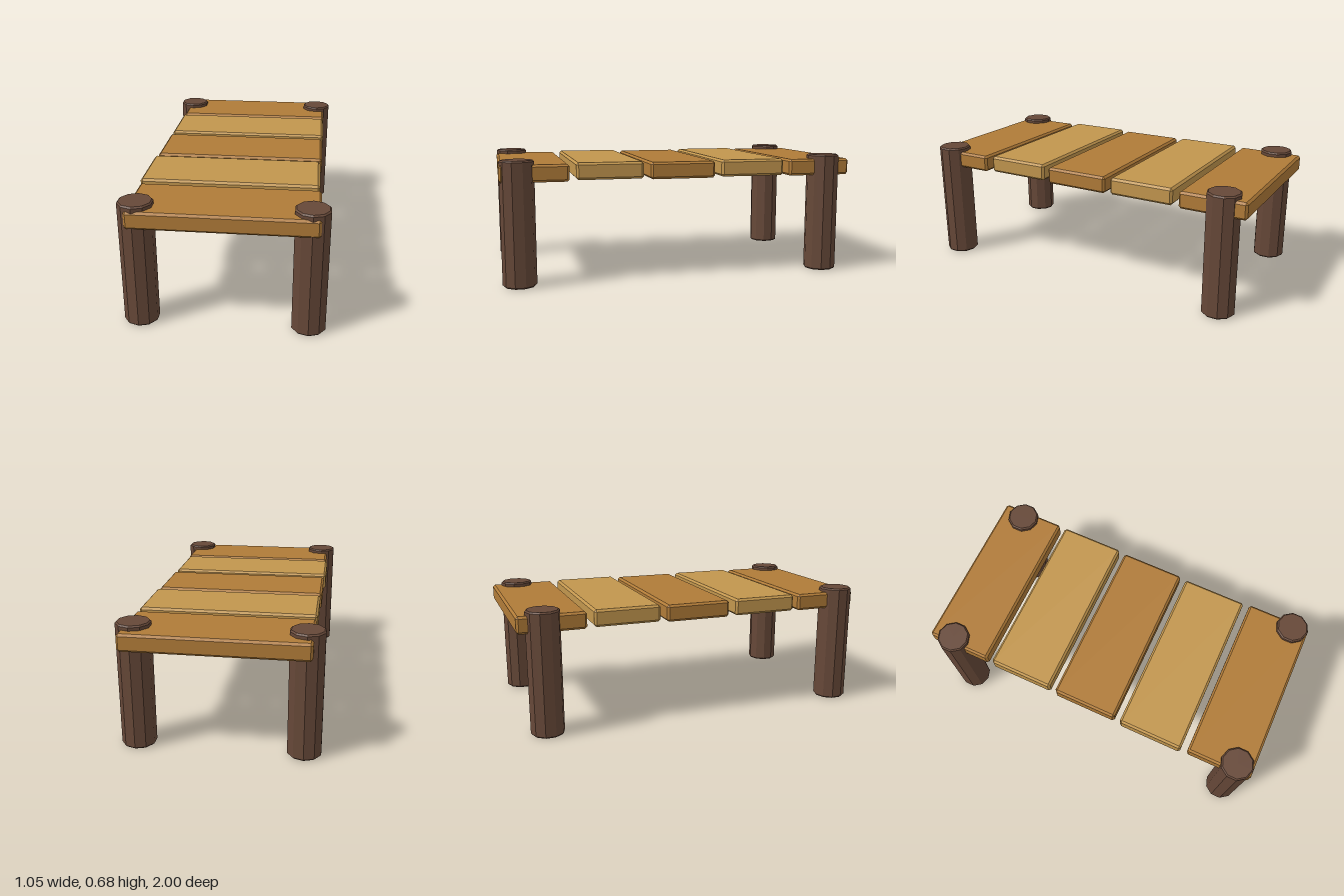
import * as THREE from 'three';
import { ConvexGeometry } from 'three/addons/geometries/ConvexGeometry.js';

const wood = (color) => new THREE.MeshStandardMaterial({ color, flatShading: true });

// Box with every edge cut by a small chamfer
function chamferedBox(w, h, d, c) {
  const points = [];
  for (const sx of [-1, 1]) for (const sy of [-1, 1]) for (const sz of [-1, 1]) {
    for (let full = 0; full < 3; full++) {
      const inset = (axis) => (axis === full ? 0 : c);
      points.push(new THREE.Vector3(
        sx * (w / 2 - inset(0)), sy * (h / 2 - inset(1)), sz * (d / 2 - inset(2))));
    }
  }
  return new ConvexGeometry(points);
}

// Ten-sided post with chamfered ends, standing on y = 0
function postGeometry(radius, height, c) {
  const profile = [
    [0, 0], [radius - c, 0], [radius, c],
    [radius, height - c], [radius - c, height], [0, height],
  ].map(([x, y]) => new THREE.Vector2(x, y));
  return new THREE.LatheGeometry(profile, 10);
}

export function createModel() {
  const dock = new THREE.Group();
  dock.name = 'dock';

  // Deck planks, front to back, alternating tone and slightly staggered
  const darkPlank = wood(0xb07b38);
  const lightPlank = wood(0xc2964e);
  const plankGeometry = chamferedBox(0.96, 0.094, 0.37, 0.012);
  [0, -0.01, 0, 0.006, 0.01].forEach((x, i) => {
    const light = i % 2 === 1;
    const plank = new THREE.Mesh(plankGeometry, light ? lightPlank : darkPlank);
    plank.name = `plank${i + 1}`;
    plank.position.set(x, light ? 0.613 : 0.608, 0.814 - i * 0.407);
    dock.add(plank);
  });

  // Corner posts, rising through the end planks
  const postWood = wood(0x664838);
  const post = postGeometry(0.092, 0.68, 0.008);
  for (const [end, z] of [['front', 0.904], ['back', -0.858]]) {
    for (const [side, x] of [['Left', 0.438], ['Right', -0.438]]) {
      const mesh = new THREE.Mesh(post, postWood);
      mesh.name = `${end}${side}Post`;
      mesh.position.set(x, 0, z);
      dock.add(mesh);
    }
  }
  return dock;
}
